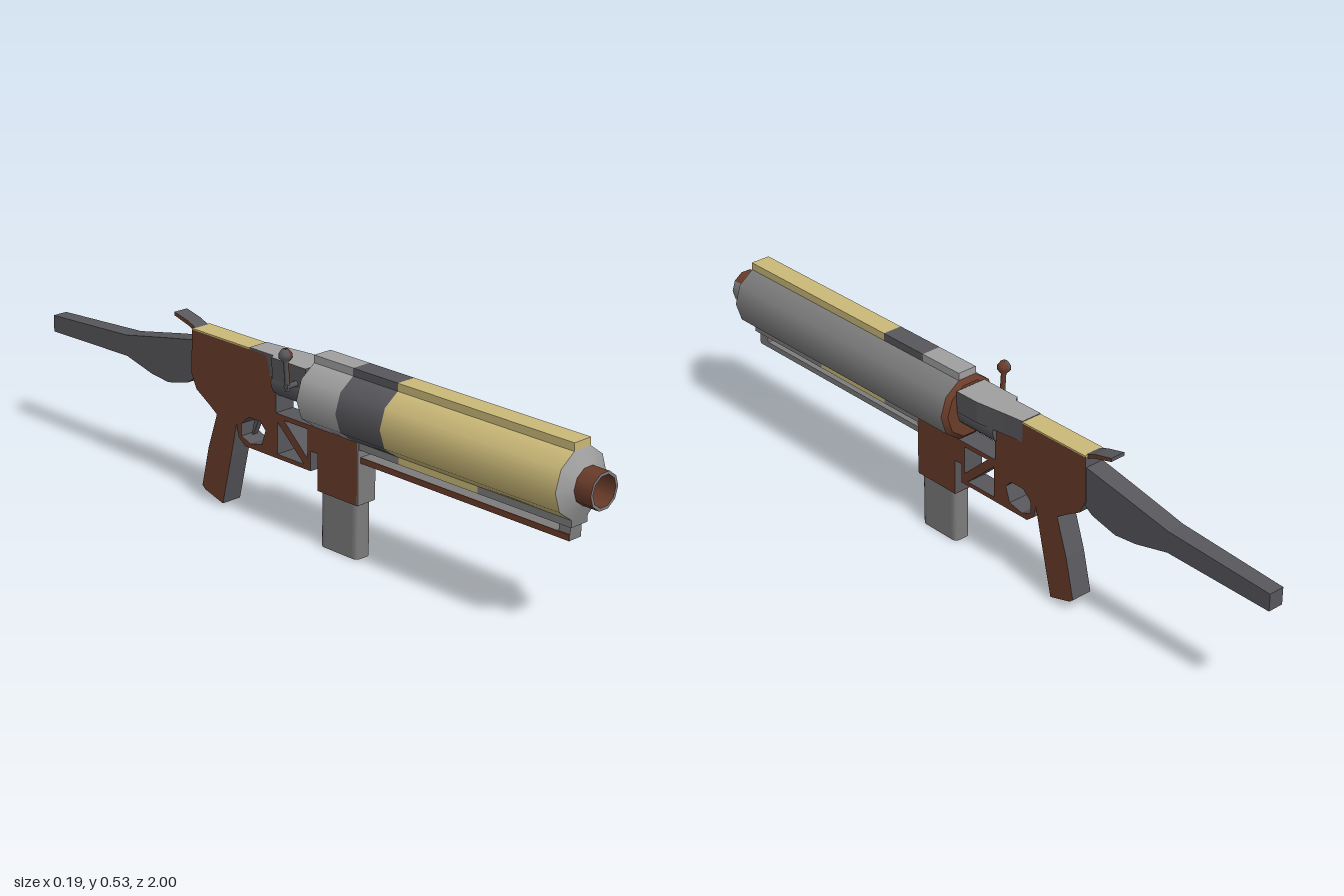
import * as THREE from 'three';

const mat = (name, color, side = THREE.FrontSide) => {
  const m = new THREE.MeshStandardMaterial({ color, side });
  m.name = name;
  return m;
};
const CX = 0.003; // centre line
const AXIS_Y = 0.411; // barrel axis height

export function createModel() {
  const model = new THREE.Group();
  const brown = mat('brown', 0x6a3c2a);
  const tan = mat('tan', 0xcbb978);
  const dark = mat('dark grey', 0x57575c);
  const mid = mat('mid grey', 0x7c7c7c);
  const light = mat('light grey', 0xa0a0a0);
  const innerBrown = brown;

  const add = (name, geo, material, parent = model) => {
    const mesh = new THREE.Mesh(geo, material);
    mesh.name = name;
    parent.add(mesh);
    return mesh;
  };
  // box given by its limits
  const box = (name, x0, x1, y0, y1, z0, z1, material) => add(name,
    new THREE.BoxGeometry(x1 - x0, y1 - y0, z1 - z0)
      .translate((x0 + x1) / 2, (y0 + y1) / 2, (z0 + z1) / 2), material);
  const shapeOf = (pts, holes = []) => {
    const v = (list) => list.map(([a, b]) => new THREE.Vector2(a, b));
    const s = new THREE.Shape(v(pts));
    holes.forEach((h) => s.holes.push(new THREE.Path(v(h))));
    return s;
  };
  // side outline in (z, y), extruded across the width
  const sideExtrude = (pts, width, holes) =>
    new THREE.ExtrudeGeometry(shapeOf(pts, holes), { depth: width, bevelEnabled: false })
      .rotateY(-Math.PI / 2).translate(CX + width / 2, 0, 0);
  // part of a ten-sided tube along z; angles run from the bottom towards +x
  const arc = (name, rFront, rBack, z0, z1, from, to, material) => {
    const g = new THREE.CylinderGeometry(rFront, rBack, z1 - z0, Math.round((to - from) / 36), 1, true,
      THREE.MathUtils.degToRad(from), THREE.MathUtils.degToRad(to - from));
    g.rotateX(Math.PI / 2).translate(CX, AXIS_Y, (z0 + z1) / 2);
    return add(name, g, material);
  };

  // Barrel shroud: grey right side, banded left side
  const R = 0.091;
  arc('shroudRight', R, R, 0.07, 0.93, -18, 162, mid);
  const bands = [[0.07, 0.21, light], [0.21, 0.365, dark], [0.365, 0.93, tan]];
  for (const [z0, z1, m] of bands) {
    arc('shroudLeft', R, R, z0, z1, 162, 342, m);
    box('topRail', CX - 0.029, CX + 0.029, 0.49, 0.518, z0, z1, m);
  }
  arc('shroudFrontCone', 0.049, R, 0.93, 0.95, -18, 342, light);
  arc('shroudBackCone', R, 0.078, 0.058, 0.07, -18, 342, brown);
  add('shroudBackPlate', new THREE.CircleGeometry(0.078, 10).rotateY(Math.PI)
    .translate(CX, AXIS_Y, 0.058), brown);

  // Muzzle with an open bore
  arc('muzzleRight', 0.049, 0.049, 0.945, 1, -18, 126, mid);
  arc('muzzleLeft', 0.049, 0.049, 0.945, 1, 126, 342, brown);
  add('muzzleRim', new THREE.RingGeometry(0.041, 0.049, 10).translate(CX, AXIS_Y, 1), mid);
  const bore = new THREE.CylinderGeometry(0.041, 0.041, 0.08, 10, 1, true)
    .scale(-1, 1, 1).rotateX(Math.PI / 2).rotateZ(Math.PI / 10).translate(CX, AXIS_Y, 0.96);
  const order = bore.index.array; // the mirrored wall is seen from inside
  const nrm = bore.attributes.normal;
  for (let i = 0; i < nrm.count; i++) nrm.setXYZ(i, -nrm.getX(i), -nrm.getY(i), -nrm.getZ(i));
  bore.index.array.set(order);
  add('bore', bore, innerBrown);
  add('boreEnd', new THREE.CircleGeometry(0.041, 10).translate(CX, AXIS_Y, 0.921), innerBrown);

  // Lower rail and the rod beneath it
  const under = [[0.22, 0.37, mid], [0.37, 0.635, tan], [0.635, 0.93, mid]];
  for (const [z0, z1, m] of under) box('lowerRail', CX - 0.029, CX + 0.029, 0.306, 0.33, z0, z1, m);
  box('underRod', CX - 0.02, CX + 0.02, 0.268, 0.284, 0.22, 0.92, mid);
  box('underRodLeftFace', CX - 0.023, CX - 0.0195, 0.268, 0.284, 0.22, 0.92, brown);
  box('rodFrontBlock', CX - 0.02, CX + 0.02, 0.268, 0.31, 0.885, 0.92, mid);

  // Receiver, grip, trigger guard and magazine well in one outline
  const W = 0.062;
  const outline = [
    [0.23, 0.155], [0.23, 0.325], [-0.07, 0.325], [-0.07, 0.474], [-0.395, 0.474], [-0.4, 0.35],
    [-0.38, 0.31], [-0.33, 0.28], [-0.3, 0.26], [-0.335, 0.155], [-0.362, 0.04], [-0.35, 0.03],
    [-0.28, 0.01], [-0.245, 0.155], [-0.222, 0.255], [-0.215, 0.22], [-0.19, 0.2], [0.06, 0.2],
    [0.06, 0.255], [0.085, 0.255], [0.085, 0.155],
  ];
  const holes = [
    [[0.048, 0.312], [-0.04, 0.312], [0.048, 0.232]],
    [[0.035, 0.212], [-0.065, 0.212], [-0.065, 0.302]],
    [[-0.11, 0.265], [-0.13, 0.285], [-0.175, 0.285], [-0.203, 0.26], [-0.203, 0.225], [-0.17, 0.212],
      [-0.125, 0.222]],
  ];
  add('receiver', sideExtrude(outline, W, holes), [brown, dark]);
  box('receiverTop', CX - W / 2, CX + W / 2, 0.473, 0.478, -0.395, -0.17, tan);
  box('wellFront', CX - W / 2, CX + W / 2, 0.155, 0.325, 0.228, 0.232, mid);
  box('wellBottom', CX - W / 2, CX + W / 2, 0.153, 0.156, 0.085, 0.23, brown);
  add('trigger', sideExtrude([[-0.155, 0.29], [-0.175, 0.29], [-0.182, 0.25], [-0.19, 0.23],
    [-0.183, 0.228], [-0.172, 0.25]], 0.016), dark);

  // Magazine with rounded upright edges
  const mx = 0.026, mz = 0.067, r = 0.016;
  const magShape = new THREE.Shape();
  magShape.moveTo(-mx + r, -mz).lineTo(mx - r, -mz).quadraticCurveTo(mx, -mz, mx, -mz + r)
    .lineTo(mx, mz - r).quadraticCurveTo(mx, mz, mx - r, mz)
    .lineTo(-mx + r, mz).quadraticCurveTo(-mx, mz, -mx, mz - r)
    .lineTo(-mx, -mz + r).quadraticCurveTo(-mx, -mz, -mx + r, -mz);
  add('magazine', new THREE.ExtrudeGeometry(magShape, { depth: 0.16, bevelEnabled: false, curveSegments: 4 })
    .rotateX(-Math.PI / 2).translate(CX, 0, 0.157), mid);

  // Bolt and the tapered cover over it
  add('bolt', new THREE.CylinderGeometry(0.045, 0.045, 0.14, 12).rotateX(Math.PI / 2)
    .translate(CX, AXIS_Y, -0.005), dark);
  const cover = shapeOf([[-0.045, -0.055], [0.05, -0.055], [0.05, 0.02], [0.038, 0.11], [0.031, 0.17],
    [-0.031, 0.17], [-0.031, 0.08], [-0.045, 0.07]]);
  add('boltCover', new THREE.ExtrudeGeometry(cover, { depth: 0.06, bevelEnabled: false })
    .rotateX(-Math.PI / 2).translate(CX, 0.42, 0), [light, dark]);

  // Bolt handle with a faceted knob, brown inner half and dark outer half
  const handle = new THREE.Group();
  handle.name = 'boltHandle';
  handle.position.set(-0.072, 0.43, 0.02);
  handle.rotation.z = 0.07;
  const profile = [[0.0, -0.01], [0.007, -0.01], [0.007, 0.068], [0.018, 0.08], [0.018, 0.092],
    [0.01, 0.103], [0, 0.103]].map(([x, y]) => new THREE.Vector2(x, y));
  add('handleInner', new THREE.LatheGeometry(profile, 4, 0, Math.PI), brown, handle);
  add('handleOuter', new THREE.LatheGeometry(profile, 4, Math.PI, Math.PI), dark, handle);
  model.add(handle);
  add('handleArm', new THREE.CylinderGeometry(0.008, 0.008, 0.06, 8).rotateZ(Math.PI / 2)
    .translate(-0.048, 0.432, 0.02), dark);

  // Rear spur
  add('rearSpur', sideExtrude([[-0.38, 0.462], [-0.42, 0.478], [-0.475, 0.493], [-0.475, 0.503],
    [-0.42, 0.49], [-0.38, 0.474]], 0.044), [brown, dark]);

  // Stock, narrowing towards the butt
  const stock = sideExtrude([[-0.395, 0.445], [-0.515, 0.422], [-0.675, 0.39], [-1, 0.37], [-1, 0.322],
    [-0.675, 0.33], [-0.57, 0.305], [-0.5, 0.298], [-0.42, 0.318], [-0.395, 0.335]], 0.056);
  const p = stock.attributes.position;
  for (let i = 0; i < p.count; i++) {
    const t = (-0.395 - p.getZ(i)) / 0.605;
    p.setX(i, CX + (p.getX(i) - CX) * (1 - 0.2 * t));
  }
  stock.computeVertexNormals();
  add('stock', stock, dark);

  return model;
}
